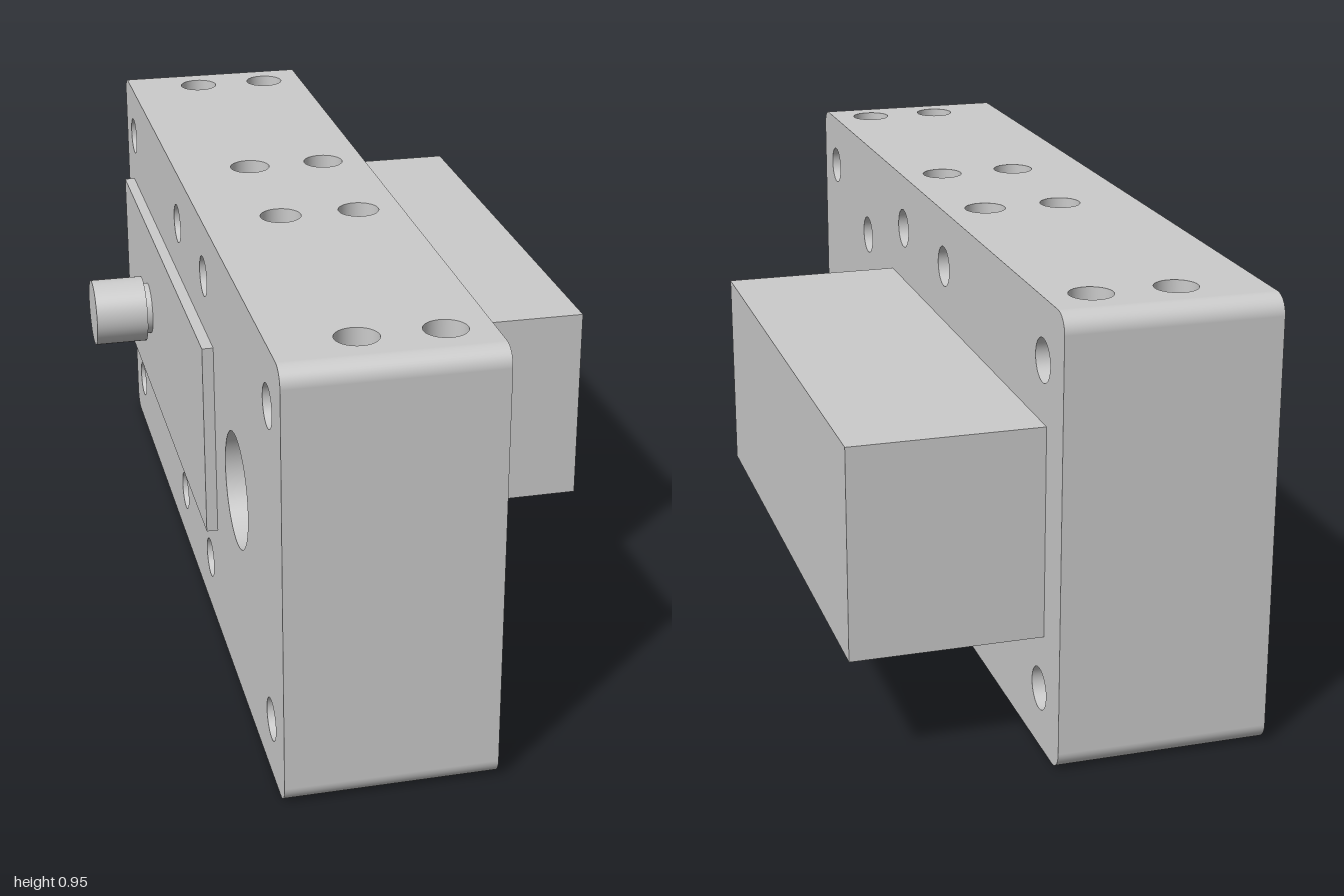
import * as THREE from 'three';

const X0 = -0.34, X1 = 0.106, H = 0.953, MID = H / 2, R = 0.04, HOLE = 0.045;
const W = X1 - X0, XC = (X0 + X1) / 2;
const ROWS = [-0.875, -0.175, 0.175, 0.875];

const solid = new THREE.MeshStandardMaterial({ color: 0xcccccc });
const open = new THREE.MeshStandardMaterial({ color: 0xcccccc, side: THREE.DoubleSide });

export function createModel() {
  const root = new THREE.Group();
  const housing = new THREE.Group();
  housing.name = 'housing';
  root.add(housing);

  const add = (parent, name, geometry, x, y, z, material = solid) => {
    const mesh = new THREE.Mesh(geometry, material);
    mesh.name = name;
    mesh.position.set(x, y, z);
    parent.add(mesh);
    return mesh;
  };

  // Flat panel with round holes, each given as [u, v, radius]
  const panel = (shape, holes) => {
    for (const [u, v, r] of holes) {
      shape.holes.push(new THREE.Path().absarc(u, v, r, 0, Math.PI * 2, true));
    }
    return new THREE.ShapeGeometry(shape, 24);
  };

  const roundedRect = (w, h, r) => {
    const s = new THREE.Shape(), a = w / 2 - r, b = h / 2 - r, q = Math.PI / 2;
    s.absarc(a, b, r, 0, q);
    s.absarc(-a, b, r, q, 2 * q);
    s.absarc(-a, -b, r, 2 * q, 3 * q);
    s.absarc(a, -b, r, 3 * q, 4 * q);
    s.closePath();
    return s;
  };

  const rect = (w, h) => new THREE.Shape([
    new THREE.Vector2(-w / 2, -h / 2), new THREE.Vector2(w / 2, -h / 2),
    new THREE.Vector2(w / 2, h / 2), new THREE.Vector2(-w / 2, h / 2),
  ]);

  // Hole positions on the large faces as [z, y from centre, radius]
  const through = [[0.53, 0, 0.127]];
  for (const z of ROWS) for (const y of [-0.35, 0.35]) through.push([z, y, HOLE]);
  const blind = [[0.53, 0.245, HOLE], [0.53, -0.245, HOLE], [0.775, 0, HOLE]];

  // Large side faces
  const mirrored = [...through, ...blind].map(([z, y, r]) => [-z, y, r]);
  add(housing, 'leftFace', panel(roundedRect(2, H, R), mirrored).rotateY(Math.PI / 2), X1, MID, 0);
  add(housing, 'rightFace', panel(roundedRect(2, H, R), through).rotateY(-Math.PI / 2), X0, MID, 0);

  // Top and bottom faces with two rows of shallow holes
  const edgeHoles = [];
  for (const z of ROWS) for (const x of [-0.165, 0.01]) edgeHoles.push([x - XC, z, HOLE]);
  for (const s of [1, -1]) {
    const face = panel(rect(W, 2 - 2 * R), edgeHoles).rotateX(-s * Math.PI / 2);
    add(housing, s > 0 ? 'topFace' : 'bottomFace', face, XC, MID + s * MID, 0);
  }

  // End faces and rounded long edges
  const end = new THREE.PlaneGeometry(W, H - 2 * R);
  add(housing, 'frontFace', end, XC, MID, 1);
  add(housing, 'backFace', end, XC, MID, -1).rotation.y = Math.PI;
  for (let k = 0; k < 4; k++) {
    const edge = new THREE.CylinderGeometry(R, R, W, 12, 1, true, k * Math.PI / 2, Math.PI / 2);
    const y = k < 2 ? H - R : R, z = k === 0 || k === 3 ? 1 - R : R - 1;
    add(housing, 'roundedEdge', edge.rotateZ(Math.PI / 2), XC, y, z);
  }

  // Bore walls
  const bore = (r, depth) => new THREE.CylinderGeometry(r, r, depth, 48, 1, true);
  for (const [z, y, r] of through) {
    add(housing, 'throughHole', bore(r, W).rotateZ(Math.PI / 2), XC, MID + y, z, open);
  }
  const blindDepth = 0.2, edgeDepth = 0.075;
  const floor = new THREE.CircleGeometry(HOLE, 48);
  for (const [z, y, r] of blind) {
    add(housing, 'blindHole', bore(r, blindDepth).rotateZ(Math.PI / 2), X1 - blindDepth / 2, MID + y, z, open);
    add(housing, 'blindHoleFloor', floor, X1 - blindDepth, MID + y, z).rotation.y = Math.PI / 2;
  }
  for (const [x, z] of edgeHoles) {
    for (const s of [1, -1]) {
      const surface = MID + s * MID;
      add(housing, 'edgeHole', bore(HOLE, edgeDepth), XC + x, surface - s * edgeDepth / 2, z, open);
      add(housing, 'edgeHoleFloor', floor, XC + x, surface - s * edgeDepth, z).rotation.x = -s * Math.PI / 2;
    }
  }

  // Motor body on the left, its raised plate on the right
  const motor = (name, a, b) =>
    add(root, name, new THREE.BoxGeometry(b - a, 0.447, 1.185), (a + b) / 2, MID, -0.31);
  motor('motorBody', X1, 0.506);
  motor('motorPlate', -0.365, X0);

  // Output shaft
  const shaft = (name, r, a, b) =>
    add(root, name, new THREE.CylinderGeometry(r, r, b - a, 48).rotateZ(Math.PI / 2), (a + b) / 2, MID, -0.53);
  shaft('shaftNeck', 0.064, -0.38, -0.365);
  shaft('shaftKnob', 0.082, -0.508, -0.38);

  return root;
}
